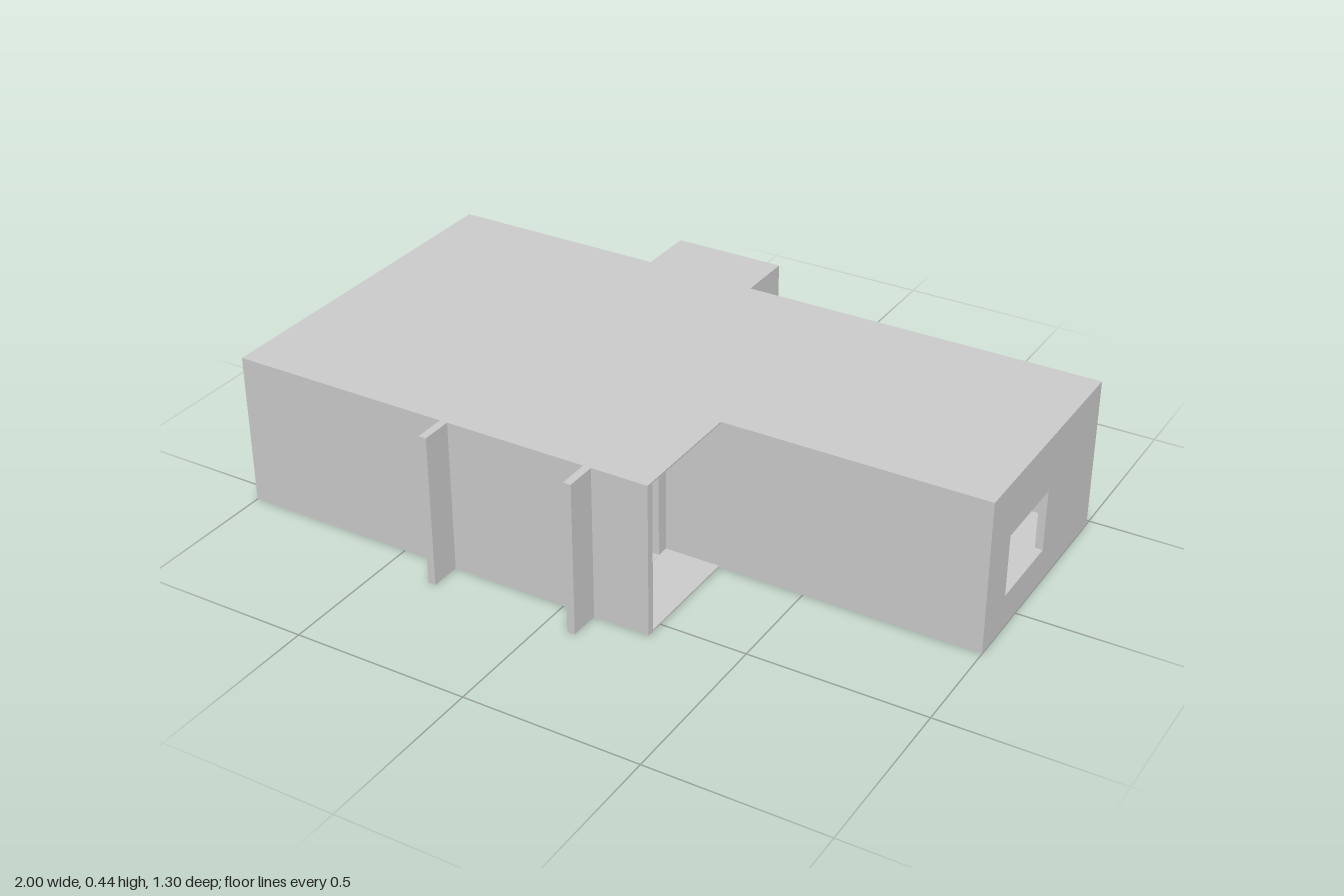
import * as THREE from 'three';

const T = 0.022;      // wall thickness
const SLAB = 0.005;   // floor and roof thickness
const TOP = 0.44;     // overall height
const HEAD = 0.278;   // top of doors and windows

export function createModel() {
  const house = new THREE.Group();
  house.name = 'house';
  const material = new THREE.MeshStandardMaterial({ color: 0xcccccc, flatShading: true });

  function add(name, geometry) {
    const mesh = new THREE.Mesh(geometry, material);
    mesh.name = name;
    house.add(mesh);
  }

  // Upright panel from u0 to u1; openings are [from, to, bottom, top]
  function panel(u0, u1, openings) {
    const rect = (path, a, b, c, d) =>
      path.moveTo(a, c).lineTo(b, c).lineTo(b, d).lineTo(a, d).closePath();
    const shape = rect(new THREE.Shape(), u0, u1, SLAB, TOP - SLAB);
    for (const [a, b, c, d] of openings) shape.holes.push(rect(new THREE.Path(), a, b, c, d));
    return new THREE.ExtrudeGeometry(shape, { depth: T, bevelEnabled: false });
  }

  // Wall running along x, its back face at z
  const wallX = (name, z, x0, x1, openings = []) =>
    add(name, panel(x0, x1, openings).translate(0, 0, z));

  // Wall running along z, its lower-x face at x
  const wallZ = (name, x, z0, z1, openings = []) =>
    add(name, panel(z0, z1, openings).rotateY(-Math.PI / 2).translate(x + T, 0, 0));

  // Horizontal slab from an [x, z] outline
  function slab(name, y, outline) {
    const shape = new THREE.Shape(outline.map(([x, z]) => new THREE.Vector2(x, -z)));
    const geometry = new THREE.ExtrudeGeometry(shape, { depth: SLAB, bevelEnabled: false });
    add(name, geometry.rotateX(-Math.PI / 2).translate(0, y, 0));
  }

  const front = [[-1, 0.557], [0.253, 0.557], [0.253, 0.203], [1, 0.203], [1, -0.482]];
  const porch = [[-0.042, -0.482], [-0.042, -0.65], [-0.368, -0.65], [-0.368, -0.482]];
  const patio = [[-0.55, -0.482], [-0.55, -0.65], [-0.95, -0.65], [-0.95, -0.482]];
  const corner = [[-1, -0.482]];

  // Floor includes the open patio, the roof does not
  slab('floor', 0, [...front, ...porch, ...patio, ...corner]);
  slab('roof', TOP - SLAB, [...front, ...porch, ...corner]);

  // Back wall with small windows, a large window, the entrance and the patio door
  const low = SLAB + 0.001;
  wallX('backWall', -0.482, -1, 1, [
    [0.79, 0.885, 0.183, HEAD],
    [0.488, 0.573, 0.183, HEAD],
    [0.041, 0.287, 0.1, HEAD],
    [-0.29, -0.066, low, HEAD],
    [-0.51, -0.41, 0.183, HEAD],
    [-0.92, -0.66, low, HEAD],
  ]);

  // End walls
  wallZ('rightEndWall', -1, -0.482 + T, 0.557 - T, [[0.39, 0.53, low, HEAD]]);
  wallZ('leftEndWall', 1 - T, -0.482 + T, 0.203 - T, [[-0.16, 0.08, 0.1, HEAD]]);

  // Front walls, leaving the terrace open towards the wing
  wallX('frontWall', 0.557 - T, -1, 0.253);
  wallX('wingFrontWall', 0.203 - T, 0.07, 1);

  // Entrance porch sides
  wallZ('porchLeftWall', -0.042 - T, -0.65, -0.482);
  wallZ('porchRightWall', -0.368, -0.65, -0.482);

  // Cross walls behind the terrace, carried through the front as fins
  for (const [x, z0, z1] of [[0.07, 0.24, 0.48], [-0.358, 0.24, 0.5]]) {
    wallZ('crossWall', x, 0.203 - T, 0.557 - T, [[z0, z1, low, HEAD]]);
    add('frontFin', new THREE.BoxGeometry(T, TOP, 0.09).translate(x + T / 2, TOP / 2, 0.602));
  }

  // Interior partitions
  wallZ('hallPartition', -0.042 - T, -0.46, -0.38);
  wallZ('bedroomPartition', 0.69, -0.46, 0.06);

  return house;
}
